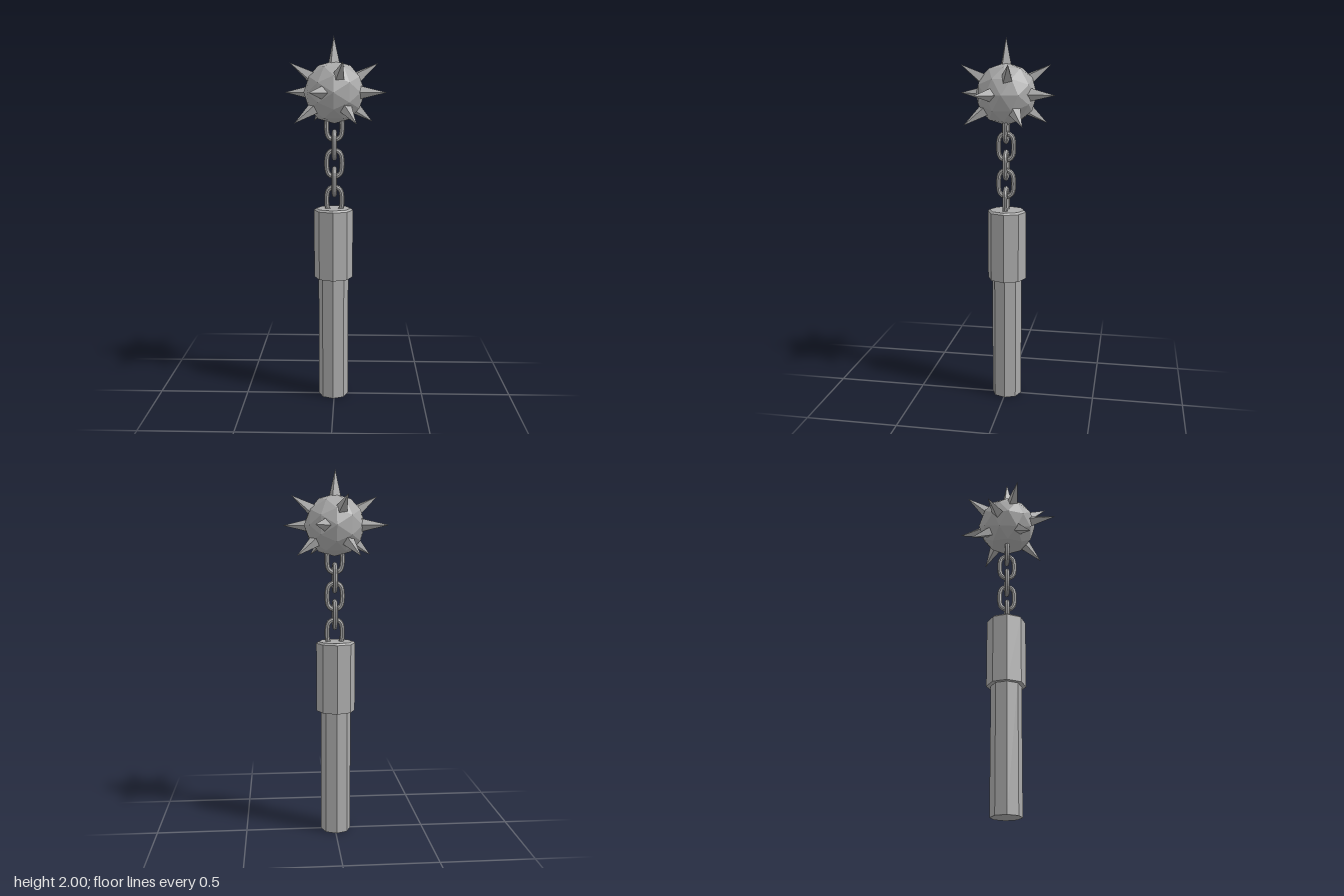
import * as THREE from 'three';

export function createModel() {
  const model = new THREE.Group();
  const steel = new THREE.MeshStandardMaterial({ color: 0xaaaaaa, flatShading: true });

  function add(parent, geometry, name, x = 0, y = 0, z = 0) {
    const mesh = new THREE.Mesh(geometry, steel);
    mesh.name = name;
    mesh.position.set(x, y, z);
    parent.add(mesh);
    return mesh;
  }

  // Octagonal handle and the thicker collar, whose top edge is bevelled
  const hx = -0.005, hz = -0.004;
  add(model, new THREE.CylinderGeometry(0.083, 0.083, 0.72, 8), 'handle', hx, 0.36, hz);
  add(model, new THREE.CylinderGeometry(0.107, 0.107, 0.378, 8), 'collar', hx, 0.879, hz);
  add(model, new THREE.CylinderGeometry(0.096, 0.107, 0.01, 8), 'collarBevel', hx, 1.073, hz);

  // Chain of stadium-shaped links, each turned a quarter from the last
  const points = [];
  for (let i = 0; i < 12; i++) {
    const a = ((i % 6) / 5) * Math.PI + (i < 6 ? 0 : Math.PI);
    points.push(new THREE.Vector3(Math.cos(a) * 0.04, Math.sin(a) * 0.04 + (i < 6 ? 0.032 : -0.032), 0));
  }
  const path = new THREE.CatmullRomCurve3(points, true);
  const linkGeometry = new THREE.TubeGeometry(path, 28, 0.0135, 8, true);
  const chain = new THREE.Group();
  chain.name = 'chain';
  for (let i = 0; i < 5; i++) {
    const link = add(chain, linkGeometry, 'chainLink', 0, 1.125 + i * 0.1, 0);
    link.rotation.y = (i % 2) * Math.PI / 2;
  }
  model.add(chain);

  // Faceted ball
  const head = new THREE.Group();
  head.name = 'spikedHead';
  head.position.y = 1.705;
  model.add(head);
  add(head, new THREE.IcosahedronGeometry(0.165, 1), 'ball');

  // Four-sided spikes: one on top and three rings of four
  const up = new THREE.Vector3(0, 1, 0);
  function spike(x, y, z) {
    const tip = new THREE.Vector3(x, y, z);
    const base = 0.13, length = tip.length() - base;
    const geometry = new THREE.ConeGeometry(0.039, length, 4);
    geometry.rotateY(-0.45);
    geometry.translate(0, base + length / 2, 0);
    add(head, geometry, 'spike').quaternion.setFromUnitVectors(up, tip.normalize());
  }
  spike(-0.003, 0.295, 0);
  const rings = [[0.05, 0.155, 0.235], [-0.12, 0, 0.277], [0.12, -0.16, 0.208]];
  for (const [x, y, z] of rings) {
    for (let k = 0; k < 4; k++) {
      const c = Math.round(Math.cos(k * Math.PI / 2)), s = Math.round(Math.sin(k * Math.PI / 2));
      spike(x * c + z * s, y, z * c - x * s);
    }
  }
  return model;
}
